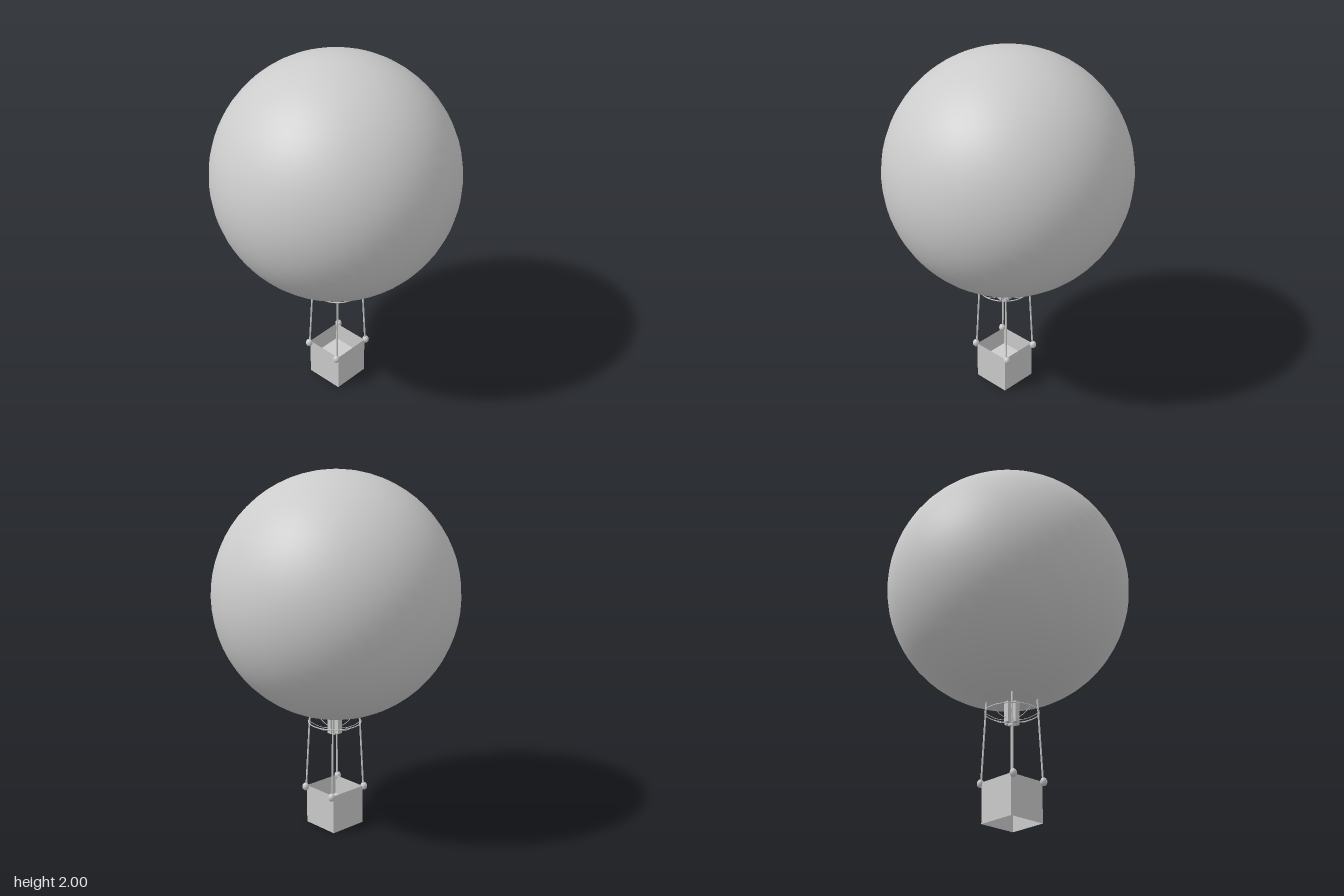
import * as THREE from 'three';

const grey = new THREE.MeshStandardMaterial({ color: 0xcccccc });
const greyThin = new THREE.MeshStandardMaterial({ color: 0xcccccc, side: THREE.DoubleSide });

function add(parent, name, geometry, x = 0, y = 0, z = 0, material = grey) {
  const mesh = new THREE.Mesh(geometry, material);
  mesh.name = name;
  mesh.position.set(x, y, z);
  parent.add(mesh);
  return mesh;
}

export function createModel() {
  const model = new THREE.Group();
  model.name = 'hotAirBalloon';

  // Envelope
  add(model, 'envelope', new THREE.SphereGeometry(0.67, 48, 32), 0, 1.33, 0);

  // Everything below hangs slightly off the envelope's axis
  const gondola = new THREE.Group();
  gondola.name = 'gondola';
  gondola.position.set(-0.008, 0, 0.02);
  model.add(gondola);

  // Basket: four thin walls, open top, floor raised to mid height
  const basket = new THREE.Group();
  basket.name = 'basket';
  gondola.add(basket);
  const size = 0.222;
  for (let i = 0; i < 4; i++) {
    const a = (i * Math.PI) / 2;
    const wall = add(basket, 'basketWall', new THREE.PlaneGeometry(size, size),
      Math.sin(a) * size / 2, size / 2, Math.cos(a) * size / 2, greyThin);
    wall.rotation.y = a;
  }
  const floor = add(basket, 'basketFloor', new THREE.PlaneGeometry(size, size), 0, 0.11, 0, greyThin);
  floor.rotation.x = -Math.PI / 2;

  // Ropes and corner knobs
  for (const sx of [-1, 1]) {
    for (const sz of [-1, 1]) {
      const low = new THREE.Vector3(sx * 0.119, 0.22, sz * 0.108);
      const high = new THREE.Vector3(sx * 0.099, 0.7, sz * 0.092);
      add(gondola, 'rope', new THREE.TubeGeometry(new THREE.LineCurve3(low, high), 1, 0.005, 8));
      const knob = add(gondola, 'cornerKnob', new THREE.SphereGeometry(0.019, 16, 12),
        sx * 0.124, 0.218, sz * 0.108);
      knob.scale.y = 1.2;
    }
  }

  // Burner ring
  const ring = add(gondola, 'burnerRing', new THREE.TorusGeometry(0.146, 0.003, 6, 40), 0, 0.607, 0);
  ring.rotation.x = Math.PI / 2;

  // Struts dipping from the ring to the burner
  const strutPath = new THREE.CatmullRomCurve3([
    new THREE.Vector3(0.146, 0.607, 0),
    new THREE.Vector3(0.08, 0.573, 0),
    new THREE.Vector3(0.02, 0.566, 0),
  ]);
  const strutGeometry = new THREE.TubeGeometry(strutPath, 8, 0.002, 5);
  for (let i = 0; i < 8; i++) {
    add(gondola, 'burnerStrut', strutGeometry).rotation.y = (i * Math.PI) / 4;
  }

  // Burner: cross-shaped column with a small nozzle beneath
  const a = 0.043, w = 0.014;
  const cross = new THREE.Shape([
    [a, -w], [a, w], [w, w], [w, a], [-w, a], [-w, w],
    [-a, w], [-a, -w], [-w, -w], [-w, -a], [w, -a], [w, -w],
  ].map(([x, y]) => new THREE.Vector2(x, y)));
  const burner = add(gondola, 'burner',
    new THREE.ExtrudeGeometry(cross, { depth: 0.145, bevelEnabled: false }), 0, 0.545, 0);
  burner.rotation.x = -Math.PI / 2;
  add(gondola, 'burnerNozzle', new THREE.BoxGeometry(0.03, 0.014, 0.03), 0, 0.54, 0);

  return model;
}
